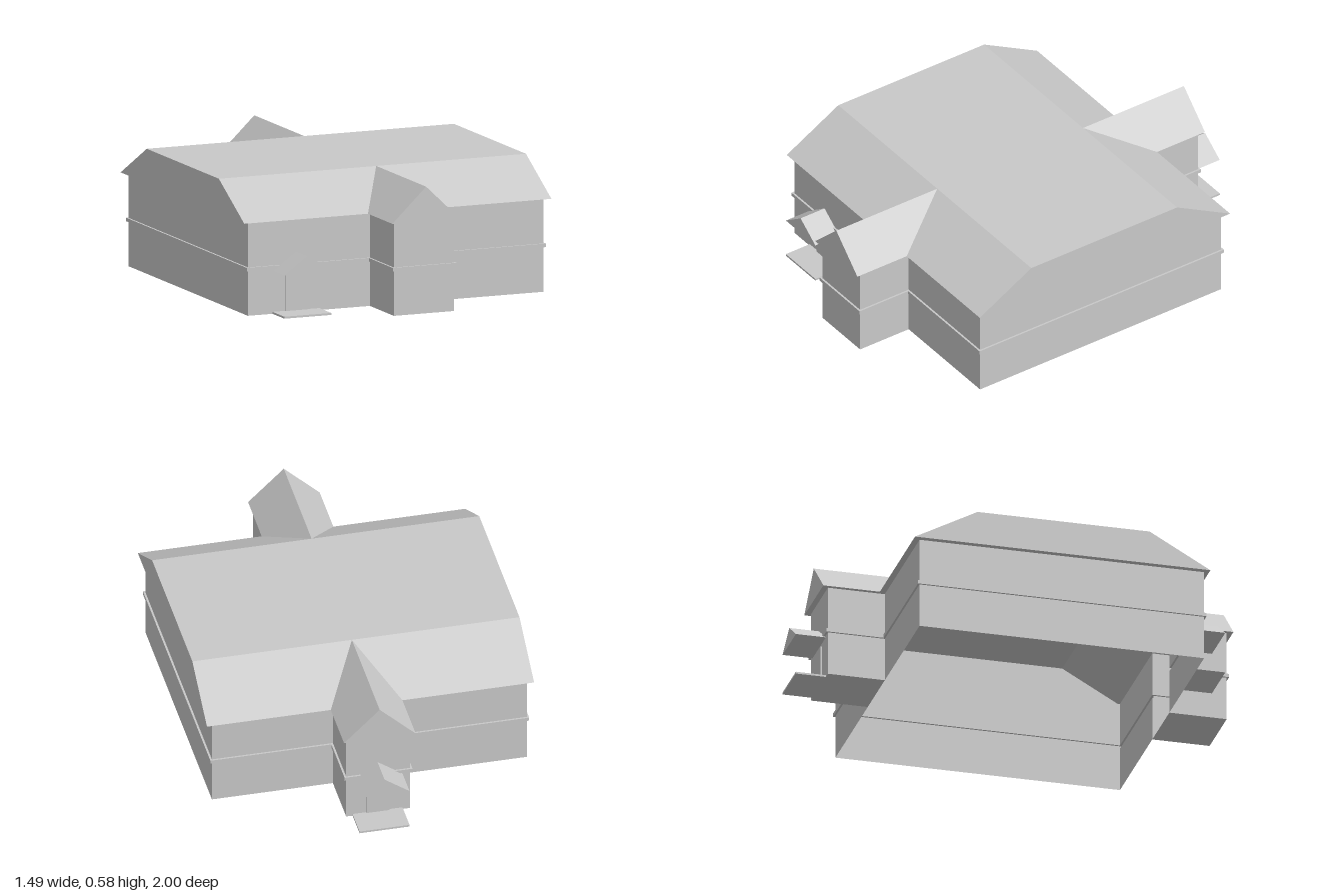
import * as THREE from 'three';

// Heights of eaves and ridge, and the x position of the wing ridges
const EAVE = 0.422, RIDGE = 0.578, RX = 0.017;
// Plan sizes: main block x0..x1, z0..z1; wings g0..g1 reaching back to b and forward to f
const WALL = { x0: -0.721, x1: 0.716, z0: -0.6, z1: 0.71, g0: -0.128, g1: 0.164, b: -0.862, f: 0.974 };
const ROOF = { x0: -0.748, x1: 0.745, z0: -0.628, z1: 0.732, g0: -0.147, g1: 0.18, b: -0.888, f: 1.0 };

const grey = new THREE.MeshStandardMaterial({ color: 0xc8c8c8, side: THREE.DoubleSide });
grey.name = 'light grey';

// Cross-shaped plan outline, pushed out by d
function outline({ x0, x1, z0, z1, g0, g1, b, f }, d = 0) {
  x0 -= d; x1 += d; z0 -= d; z1 += d; g0 -= d; g1 += d; b -= d; f += d;
  return [[x1, z1], [x1, z0], [g1, z0], [g1, b], [g0, b], [g0, z0],
    [x0, z0], [x0, z1], [g0, z1], [g0, f], [g1, f], [g1, z1]];
}

// Flat polygons, each split as a fan
function polyMesh(name, polygons) {
  const pos = [];
  for (const p of polygons)
    for (let i = 1; i < p.length - 1; i++) pos.push(...p[0], ...p[i], ...p[i + 1]);
  const geo = new THREE.BufferGeometry();
  geo.setAttribute('position', new THREE.Float32BufferAttribute(pos, 3));
  geo.computeVertexNormals();
  const mesh = new THREE.Mesh(geo, grey);
  mesh.name = name;
  return mesh;
}

// Bands of quads joining successive plan outlines
function loft(name, rings) {
  const polys = [];
  for (let k = 0; k < rings.length - 1; k++) {
    const [ya, a] = rings[k], [yb, b] = rings[k + 1];
    a.forEach((p, i) => {
      const j = (i + 1) % a.length;
      polys.push([[p[0], ya, p[1]], [a[j][0], ya, a[j][1]], [b[j][0], yb, b[j][1]], [b[i][0], yb, b[i][1]]]);
    });
  }
  return polyMesh(name, polys);
}

// Flat-topped roof with a gabled wing cut into the front and back slopes
function makeRoof() {
  const { x0, x1, z0, z1, g0, g1, b, f } = ROOF, E = EAVE, T = RIDGE, zf = 0.452, zb = -0.34;
  const polys = [
    [[x0, T, zf], [x1, T, zf], [x1, T, zb], [x0, T, zb]],
    [[x1, E, z1], [x1, E, z0], [x1, T, zb], [x1, T, zf]],
    [[x0, E, z0], [x0, E, z1], [x0, T, zf], [x0, T, zb]],
  ];
  for (const [z, top, end, back] of [[z1, zf, f, false], [z0, zb, b, true]]) {
    const side = [
      [[x0, E, z], [g0, E, z], [RX, T, top], [x0, T, top]],
      [[g1, E, z], [x1, E, z], [x1, T, top], [RX, T, top]],
      [[g0, E, z], [g0, E, end], [RX, T, end], [RX, T, top]],
      [[g1, E, end], [g1, E, z], [RX, T, top], [RX, T, end]],
      [[g0, E, end], [g1, E, end], [RX, T, end]],
    ];
    polys.push(...side.map(p => (back ? p.reverse() : p)));
  }
  return polyMesh('roof', polys);
}

function box(name, w, h, d, x, y, z) {
  const mesh = new THREE.Mesh(new THREE.BoxGeometry(w, h, d), grey);
  mesh.name = name;
  mesh.position.set(x, y, z);
  return mesh;
}

// Small gabled canopy over a door and a doorstep, growing along +z from the wall
function makePorch(name, depth) {
  const porch = new THREE.Group();
  porch.name = name;
  const tri = new THREE.Shape([[-0.114, 0.194], [0.114, 0.194], [0, 0.275]].map(p => new THREE.Vector2(...p)));
  const canopy = new THREE.Mesh(new THREE.ExtrudeGeometry(tri, { depth, bevelEnabled: false }), grey);
  canopy.name = 'porchCanopy';
  porch.add(canopy,
    box('doorstep', 0.228, 0.009, depth, 0, 0.0045, depth / 2),
    box('door', 0.104, 0.168, 0.007, 0, 0.093, 0.0035));
  return porch;
}

export function createModel() {
  const house = new THREE.Group();
  house.name = 'house';

  // Walls with a projecting belt course, then the eave soffit
  const wall = outline(WALL), belt = outline(WALL, 0.009);
  house.add(loft('walls', [[0, wall], [0.203, wall]]));
  house.add(loft('beltCourse', [[0.203, wall], [0.203, belt], [0.219, belt], [0.219, wall]]));
  house.add(loft('upperWalls', [[0.219, wall], [EAVE, wall]]));
  house.add(loft('soffit', [[EAVE, wall], [EAVE, outline(ROOF)]]));
  house.add(makeRoof());

  // Floors of the two wings
  const { g0, g1, z0, z1, b, f } = WALL;
  for (const [name, za, zb] of [['frontWingFloor', z1, f], ['backWingFloor', b, z0]])
    house.add(polyMesh(name, [[[g0, 0, za], [g1, 0, za], [g1, 0, zb], [g0, 0, zb]]]));

  // Porches
  const front = makePorch('frontPorch', 0.13);
  front.position.set(-0.487, 0, z1);
  const back = makePorch('backPorch', 0.138);
  back.position.set(0.021, 0, b);
  back.rotation.y = Math.PI;
  house.add(front, back);
  return house;
}
